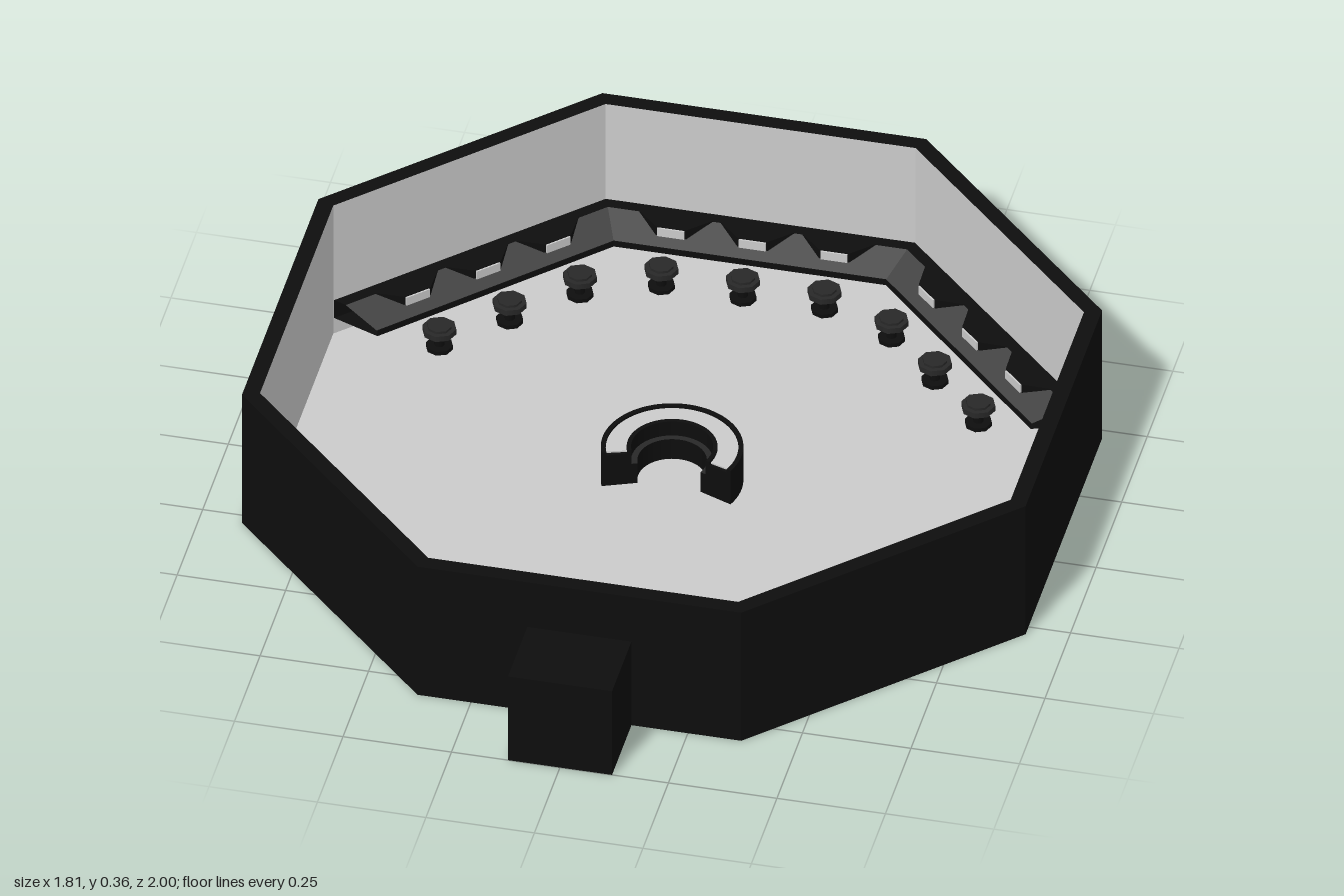
import * as THREE from 'three';

const mat = (name, color) => {
  const m = new THREE.MeshStandardMaterial({ color, side: THREE.DoubleSide });
  m.name = name;
  return m;
};

export function createModel() {
  const black = mat('black', 0x0d0d0d);
  const light = mat('light grey', 0xcbcbcb);
  const grey = mat('dark grey', 0x424242);
  const charcoal = mat('charcoal', 0x282828);
  const root = new THREE.Group();
  root.name = 'controlRoom';

  const add = (parent, name, geo, material, x = 0, y = 0, z = 0, ry = 0) => {
    const m = new THREE.Mesh(geo, material);
    m.name = name;
    m.position.set(x, y, z);
    m.rotation.y = ry;
    parent.add(m);
    return m;
  };
  const box = (w, h, d) => new THREE.BoxGeometry(w, h, d);
  const cyl = (r, h, n = 8) => new THREE.CylinderGeometry(r, r, h, n);
  // Plan outlines are [x, z]; they become flat sheets or upright prisms
  const plan = (pts) => new THREE.Shape(pts.map(([x, z]) => new THREE.Vector2(x, -z)));
  const sheet = (shape) => new THREE.ShapeGeometry(shape).rotateX(-Math.PI / 2);
  const prism = (shape, h) =>
    new THREE.ExtrudeGeometry(shape, { depth: h, bevelEnabled: false, curveSegments: 24 }).rotateX(-Math.PI / 2);

  // Octagonal room shell: dark outside, light inside, open below the wall cavity
  const H = 0.36, DOOR_W = 0.12, DOOR_H = 0.235;
  const octagon = (t) => {
    const k = t * 0.414, a = 0.373 - k, b = 0.903 - t;
    return [[-a, -1 + t], [a, -1 + t], [b, -0.47 + k], [b, 0.278 - k],
      [a, 0.81 - t], [-a, 0.81 - t], [-b, 0.278 - k], [-b, -0.47 + k]];
  };
  const outer = octagon(0), inner = octagon(0.038);
  const walls = (pts, name, material) => pts.forEach(([x0, z0], i) => {
    const [x1, z1] = pts[(i + 1) % 8];
    const w = Math.hypot(x1 - x0, z1 - z0) / 2;
    const outline = [[-w, 0], [w, 0], [w, H], [-w, H]];
    if (i === 4) outline.splice(1, 0, [-DOOR_W, 0], [-DOOR_W, DOOR_H], [DOOR_W, DOOR_H], [DOOR_W, 0]);
    const s = new THREE.Shape(outline.map(([x, y]) => new THREE.Vector2(x, y)));
    add(root, name, new THREE.ShapeGeometry(s), material,
      (x0 + x1) / 2, 0, (z0 + z1) / 2, Math.atan2(z0 - z1, x1 - x0));
  });
  walls(outer, 'outerWall', black);
  walls(inner, 'innerWall', light);
  const rim = plan(outer);
  rim.holes.push(plan(inner));
  add(root, 'wallRim', sheet(rim), black, 0, H, 0);
  add(root, 'floor', sheet(plan(inner)), light);

  // Entrance porch
  const porchDepth = 1 - 0.772, porchZ = (1 + 0.772) / 2;
  add(root, 'porchFloor', sheet(plan([[-DOOR_W, 0.772], [DOOR_W, 0.772], [DOOR_W, 1], [-DOOR_W, 1]])), light);
  add(root, 'porchRoof', box(DOOR_W * 2, 0.004, porchDepth), black, 0, DOOR_H - 0.002, porchZ);
  add(root, 'porchFront', box(DOOR_W * 2, DOOR_H, 0.004), black, 0, DOOR_H / 2, 0.998);
  for (const s of [-1, 1])
    add(root, 'porchSide', box(0.004, DOOR_H, porchDepth), black, s * (DOOR_W - 0.002), DOOR_H / 2, porchZ);

  // Back console: a section (distance from wall, height) swept around three walls
  const pathAt = (d) => {
    const a = inner[1][0] - 0.414 * d, e = [inner[2][0] - 1.06 * d, inner[2][1] + 0.42 * d];
    return [[-e[0], e[1]], [-a, -0.962 + d], [a, -0.962 + d], e];
  };
  const ribbon = (section) => {
    const rows = section.map(([d, y]) => pathAt(d).map(([x, z]) => [x, y, z]));
    const pos = [];
    for (let i = 0; i < rows.length - 1; i++)
      for (let j = 0; j < 3; j++) {
        const a = rows[i][j], b = rows[i][j + 1], c = rows[i + 1][j + 1], d = rows[i + 1][j];
        pos.push(...a, ...b, ...c, ...a, ...c, ...d);
      }
    const g = new THREE.BufferGeometry();
    g.setAttribute('position', new THREE.Float32BufferAttribute(pos, 3));
    g.computeVertexNormals();
    return g;
  };
  add(root, 'backConsoleSlope', ribbon([[0.104, 0.06], [0.03, 0.095]]), grey);
  add(root, 'backConsoleFrame',
    ribbon([[0.03, 0.095], [0.002, 0.095], [0.002, 0.045], [0.106, 0.045], [0.106, 0.06], [0.102, 0.06]]), black);

  const stool = (parent, x, z, r) => {
    const g = new THREE.Group();
    g.name = 'stool';
    g.position.set(x, 0, z);
    add(g, 'stoolBase', cyl(r * 0.8, 0.01), black, 0, 0.006);
    add(g, 'stoolPole', cyl(0.012, 0.04), black, 0, 0.03);
    add(g, 'stoolSeat', cyl(r, 0.014), charcoal, 0, 0.052);
    add(g, 'stoolCushion', cyl(r * 0.72, 0.006), charcoal, 0, 0.062);
    parent.add(g);
  };

  // Back stations: stool, tapered hood and screen; local -z points to the wall
  const backStation = (x, z, ry) => {
    const g = new THREE.Group();
    g.name = 'backStation';
    g.position.set(x, 0, z);
    g.rotation.y = ry;
    stool(g, 0, 0, 0.039);
    const hood = plan([[-0.085, -0.142], [-0.035, -0.094], [0.035, -0.094], [0.085, -0.142]]);
    add(g, 'screenHood', prism(hood, 0.035), black, 0, 0.062, 0);
    add(g, 'screen', box(0.062, 0.022, 0.004), light, 0, 0.084, -0.092);
    root.add(g);
  };
  for (const i of [-1, 0, 1]) {
    backStation(i * 0.188, -0.79, 0);
    for (const s of [-1, 1])
      backStation(s * (0.49 + i * 0.131), -0.588 + i * 0.131, -s * Math.PI / 4);
  }

  // Front corner desks with four rounded seat bays each
  const seats = [-0.265, -0.088, 0.088, 0.265];
  const cornerDesk = (s) => {
    const g = new THREE.Group();
    g.name = 'cornerDesk';
    g.position.set(s * 0.503, 0, 0.412);
    g.rotation.y = -s * Math.PI * 0.75;
    const outline = [[0.45, -0.058], [0.36, -0.146], [-0.36, -0.146], [-0.45, -0.058], [-0.375, 0.02]];
    for (const t of seats)
      outline.push([t - 0.043, 0.02], [t - 0.043, -0.035], [t - 0.022, -0.06],
        [t + 0.022, -0.06], [t + 0.043, -0.035], [t + 0.043, 0.02]);
    outline.push([0.375, 0.02]);
    add(g, 'deskTop', prism(plan(outline), 0.072), [grey, black], 0, 0.003, 0);
    for (const t of seats) {
      stool(g, t, 0, 0.03);
      add(g, 'footrest', cyl(0.02, 0.045), black, t, 0.025, -0.032);
      // Three monitors curved around the seat
      for (const a of [-0.62, 0, 0.62]) {
        const dx = Math.sin(a), dz = -Math.cos(a);
        add(g, 'monitorBack', box(0.054, 0.046, 0.005), black, t + dx * 0.102, 0.098, dz * 0.102, -a);
        add(g, 'monitorScreen', box(0.046, 0.034, 0.003), light, t + dx * 0.0985, 0.1, dz * 0.0985, -a);
      }
    }
    root.add(g);
  };
  cornerDesk(1);
  cornerDesk(-1);

  // Round reception counter, open towards the door
  const arc = (r0, r1, h, trim = 0) => {
    const a0 = -0.38 + trim, a1 = Math.PI + 0.38 - trim;
    const sh = new THREE.Shape();
    sh.absarc(0, 0, r1, a0, a1, false);
    sh.absarc(0, 0, r0, a1, a0, true);
    return prism(sh, h);
  };
  const counter = new THREE.Group();
  counter.name = 'counter';
  counter.position.set(0, 0.002, -0.097);
  add(counter, 'counterBody', arc(0.096, 0.152, 0.085), black);
  add(counter, 'counterOuterRim', arc(0.149, 0.16, 0.094), black);
  add(counter, 'counterInnerRim', arc(0.092, 0.102, 0.094), black);
  add(counter, 'counterTop', arc(0.102, 0.149, 0.005, 0.06), light, 0, 0.084);
  add(counter, 'counterShelf', arc(0.078, 0.092, 0.055), [charcoal, black]);
  root.add(counter);

  // Bins beside the door
  add(root, 'tallBin', cyl(0.02, 0.12, 12), black, 0.19, 0.061, 0.738);
  add(root, 'shortBin', cyl(0.016, 0.035, 12), black, 0.143, 0.019, 0.742);
  return root;
}
